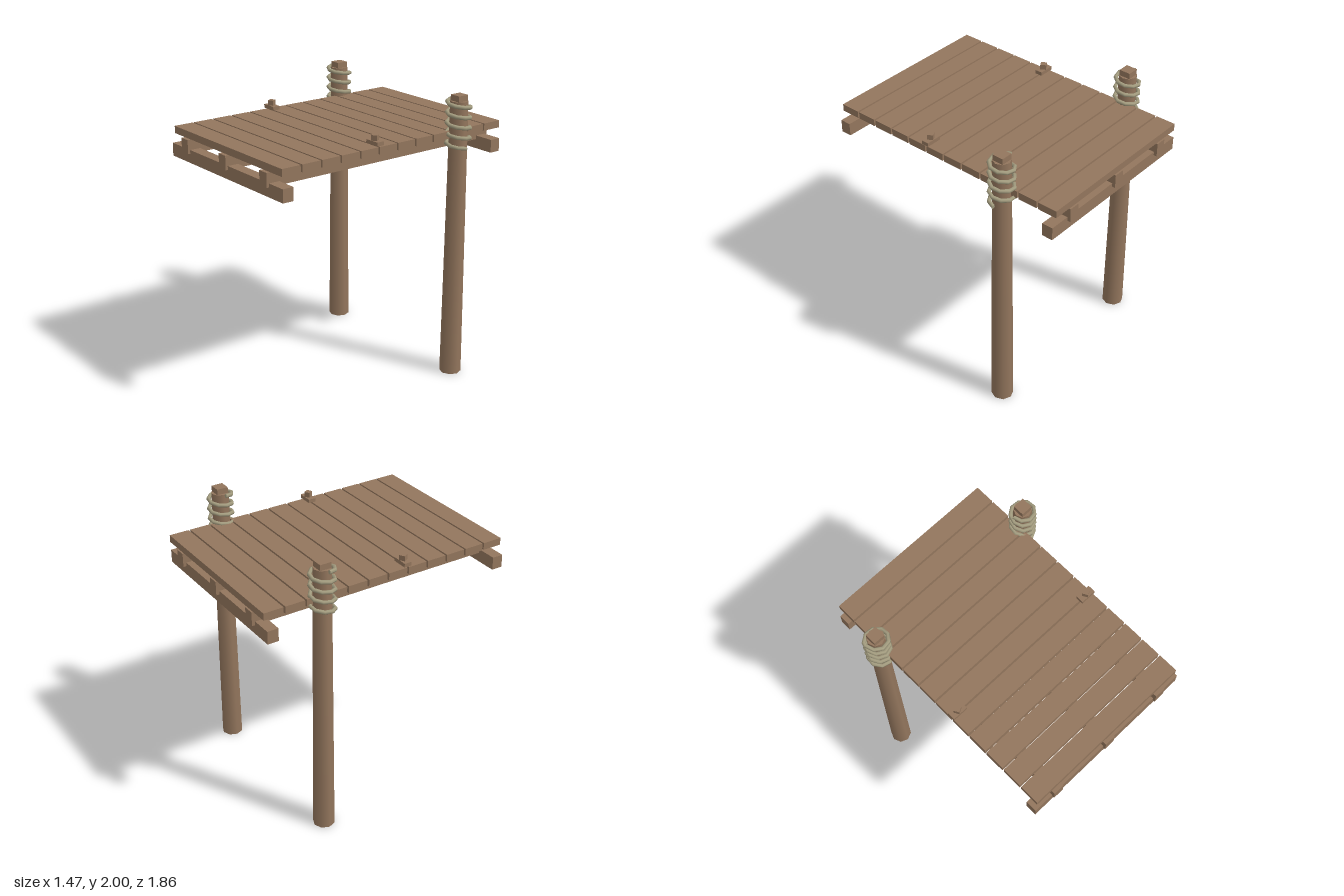
import * as THREE from 'three';

const wood = new THREE.MeshStandardMaterial({ color: 0x93765d });
wood.name = 'weathered wood';
const rope = new THREE.MeshStandardMaterial({ color: 0xa39c7f });
rope.name = 'rope';

// Box given by its size and centre
function box(parent, name, [w, h, d], [x, y, z], turn = 0) {
  const mesh = new THREE.Mesh(new THREE.BoxGeometry(w, h, d), wood);
  mesh.name = name;
  mesh.position.set(x, y, z);
  mesh.rotation.y = turn;
  parent.add(mesh);
}

// Rope wound down around a post, eight straight pieces per turn
class Coil extends THREE.Curve {
  getPoint(t, target = new THREE.Vector3()) {
    const a = t * 4.5 * Math.PI * 2;
    return target.set(-0.08 * Math.cos(a), 1.96 - 0.31 * t, 0.08 * Math.sin(a));
  }
}

function createPost(x) {
  const post = new THREE.Group();
  post.name = 'ropedPost';
  post.position.set(x, 0, -0.515);

  const shaft = new THREE.Mesh(new THREE.CylinderGeometry(0.06, 0.075, 1.96, 8), wood);
  shaft.name = 'postShaft';
  shaft.position.y = 0.98;
  post.add(shaft);
  box(post, 'postPeg', [0.08, 0.06, 0.08], [0, 1.97, 0]);

  const coil = new THREE.Mesh(new THREE.TubeGeometry(new Coil(), 40, 0.014, 6), rope);
  coil.name = 'ropeCoil';
  post.add(coil);

  // Rope ends
  for (const t of [0, 1]) {
    const curve = new Coil();
    const end = new THREE.Mesh(new THREE.CircleGeometry(0.014, 6), rope);
    end.name = 'ropeEnd';
    const p = curve.getPoint(t);
    end.position.copy(p);
    const dir = curve.getTangent(t).multiplyScalar(t ? 1 : -1);
    end.quaternion.setFromUnitVectors(new THREE.Vector3(0, 0, 1), dir);
    post.add(end);
  }
  return post;
}

export function createModel() {
  const model = new THREE.Group();
  model.name = 'woodenPlatform';

  // Deck planks
  for (let i = 0; i < 12; i++) {
    box(model, 'deckPlank', [1.235, 0.05, 0.14], [-0.002, 1.73, -0.848 + i * 0.1525]);
  }

  // Joists running front to back
  for (const x of [-0.455, -0.002, 0.452]) {
    box(model, 'joist', [0.077, 0.096, 1.855], [x, 1.657, -0.002]);
  }

  // Cross beams under the joists
  for (const z of [0.87, -0.868]) {
    box(model, 'crossBeam', [1.275, 0.09, 0.078], [-0.002, 1.59, z]);
  }

  // Posts, and cleats on the deck edges
  for (const s of [-1, 1]) {
    model.add(createPost(s * 0.639));
    box(model, 'cleatBase', [0.11, 0.026, 0.054], [s * 0.568, 1.777, 0.14]);
    box(model, 'cleatKnob', [0.04, 0.036, 0.04], [s * 0.568, 1.808, 0.14], Math.PI / 6);
  }
  return model;
}
